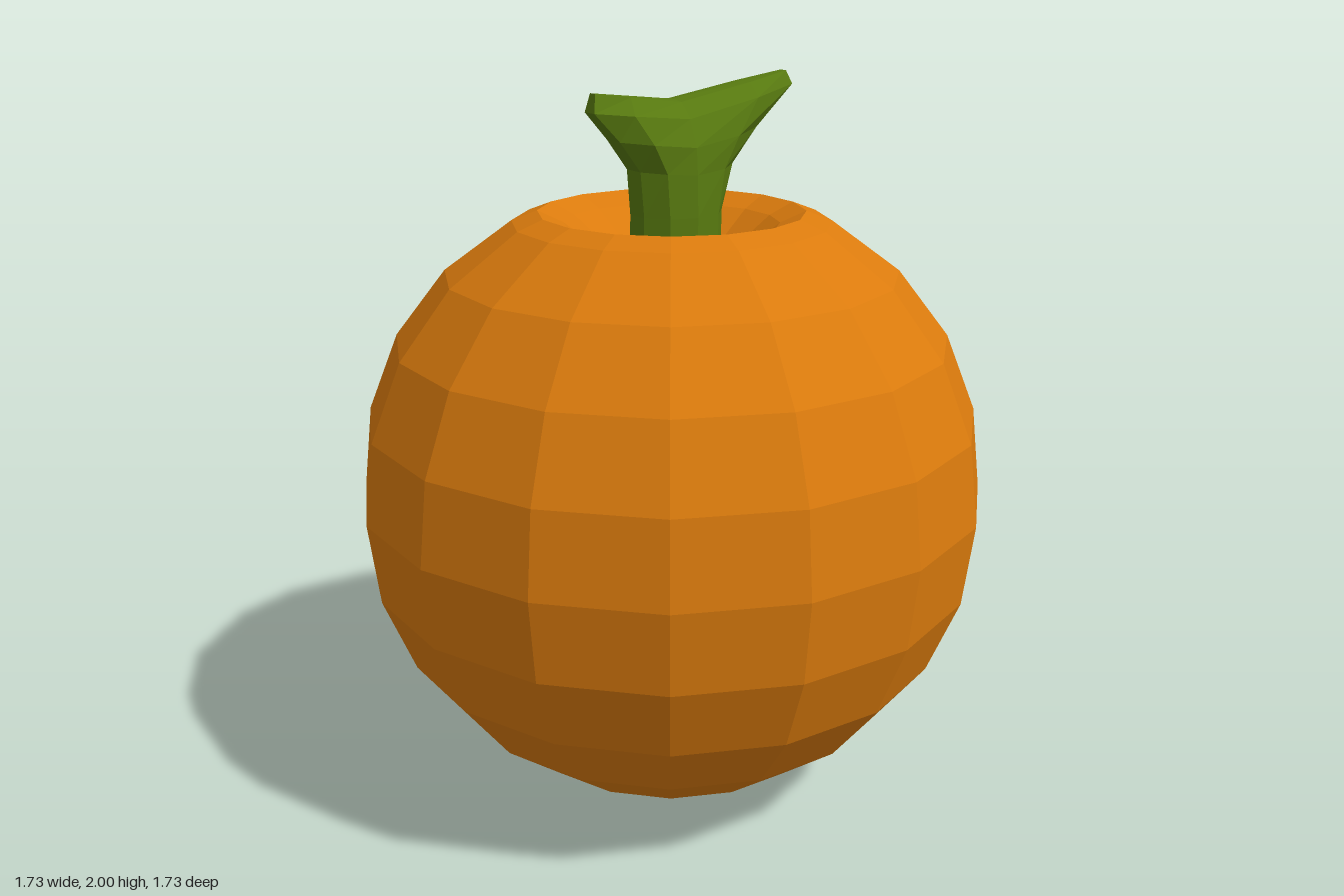
import * as THREE from 'three';

const material = (color) => new THREE.MeshStandardMaterial({ color, flatShading: true });

// Closed skin over a stack of rings with equal point counts, ends fanned to a centre point.
function loft(rings, bottom, top) {
  const n = rings[0].length;
  const points = [...rings.flat(), bottom, top];
  const index = [];
  const at = (ring, i) => ring * n + (i % n);
  const last = rings.length - 1;
  for (let i = 0; i < n; i++) {
    for (let r = 0; r < last; r++) {
      index.push(at(r, i), at(r, i + 1), at(r + 1, i + 1));
      index.push(at(r, i), at(r + 1, i + 1), at(r + 1, i));
    }
    index.push(rings.length * n, at(0, i + 1), at(0, i));
    index.push(rings.length * n + 1, at(last, i), at(last, i + 1));
  }
  const geometry = new THREE.BufferGeometry().setFromPoints(points);
  geometry.setIndex(index);
  geometry.computeVertexNormals();
  return geometry;
}

// Round body with a dimple sunk into the top
function makeBody() {
  const profile = [
    [0, 0], [0.22, 0.035], [0.435, 0.12], [0.615, 0.26], [0.755, 0.44], [0.84, 0.65],
    [0.867, 0.875], [0.84, 1.1], [0.755, 1.31], [0.615, 1.49], [0.43, 1.625],
    [0.36, 1.652], [0.29, 1.62], [0.15, 1.51], [0, 1.46],
  ].map(([r, y]) => new THREE.Vector2(r, y));
  const body = new THREE.Mesh(new THREE.LatheGeometry(profile, 16), material(0xdb7b0d));
  body.name = 'body';
  return body;
}

// Stem that flares into a thin saddle-shaped crest, running from front right to back left
function makeStem() {
  const along = new THREE.Vector3(0.54, 0, -0.84);
  const across = new THREE.Vector3(0.84, 0, 0.54);
  const place = (u, v, y) =>
    new THREE.Vector3(0, y, 0).addScaledVector(along, u).addScaledVector(across, v);

  // [middle y, front reach, front y, back reach, back y, half width, sideways shift]
  const sections = [
    [1.46, 0.12, 1.46, 0.13, 1.46, 0.11, 0.01],
    [1.65, 0.12, 1.65, 0.13, 1.65, 0.108, 0.015],
    [1.76, 0.13, 1.77, 0.165, 1.77, 0.105, 0.015],
    [1.83, 0.19, 1.85, 0.245, 1.86, 0.1, 0.015],
    [1.9, 0.258, 1.925, 0.375, 1.965, 0.075, 0.01],
    [1.94, 0.245, 1.972, 0.365, 2.0, 0.04, 0.005],
  ];
  const sides = 10;
  const rings = sections.map(([y, front, frontY, back, backY, half, shift]) =>
    Array.from({ length: sides }, (_, i) => {
      const angle = ((i + 0.5) / sides) * Math.PI * 2;
      const c = Math.cos(angle) / Math.cos(Math.PI / sides);
      const reach = c > 0 ? back : front;
      const endY = c > 0 ? backY : frontY;
      const u = c * reach;
      const v = shift + Math.sin(angle) * half;
      return place(u, -v + 2 * shift, y + (endY - y) * Math.abs(c));
    }));
  const stem = new THREE.Mesh(
    loft(rings, place(0, 0, 1.46), place(0, 0.005, 1.945)), material(0x587a10));
  stem.name = 'stem';
  // Sections run clockwise or not depending on the frame, so keep both faces visible
  stem.material.side = THREE.DoubleSide;
  return stem;
}

export function createModel() {
  const model = new THREE.Group();
  model.name = 'pumpkin';
  model.add(makeBody(), makeStem());
  return model;
}
